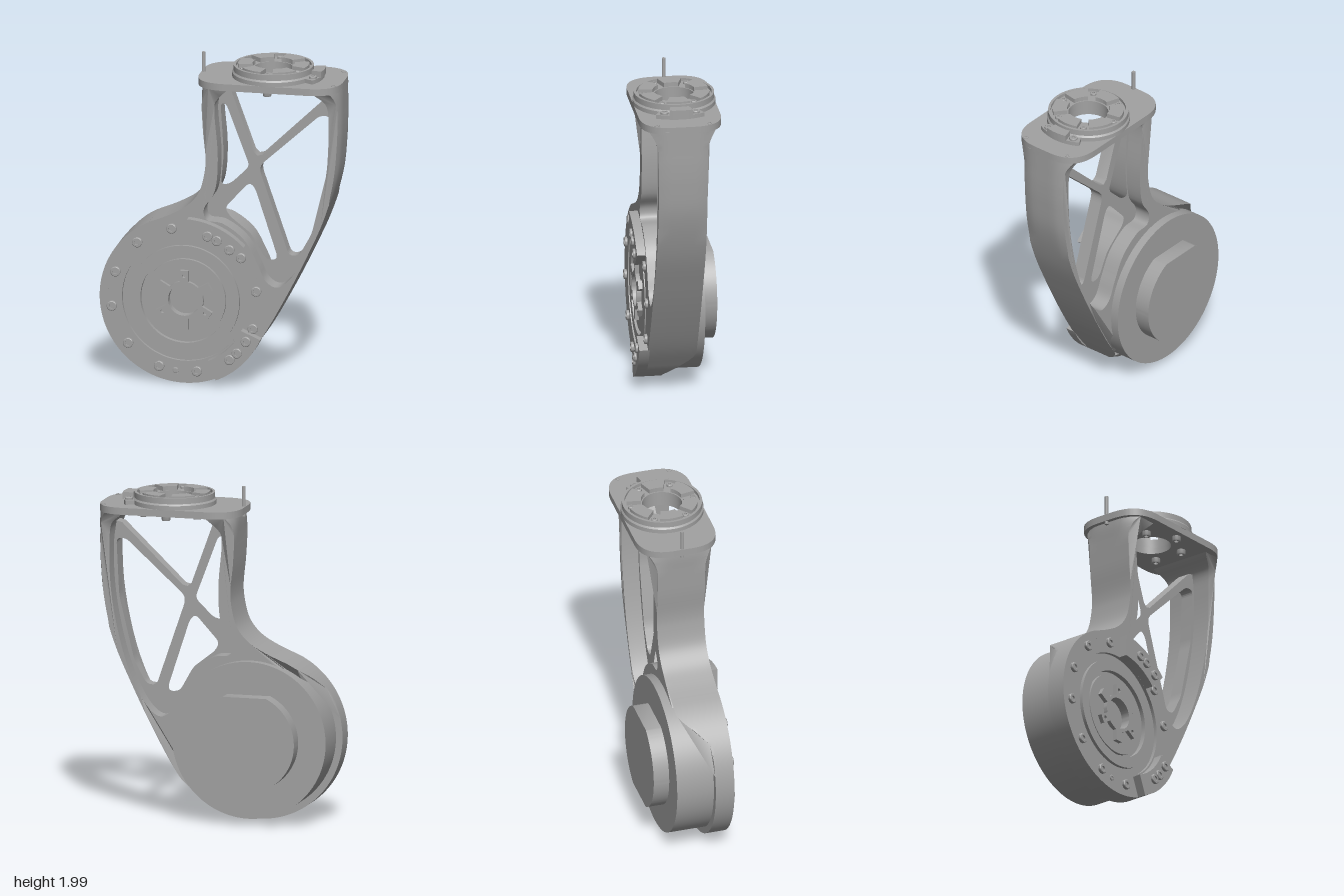
import * as THREE from 'three';
import { toCreasedNormals } from 'three/addons/utils/BufferGeometryUtils.js';

const V2 = (x, y) => new THREE.Vector2(x, y);
const DEG = Math.PI / 180;
const CX = -0.217, CY = 0.516; // drum axis
const ZC = 0.025; // middle of the arm depth

export function createModel() {
  const model = new THREE.Group();
  const metal = new THREE.MeshStandardMaterial({ color: 0xa2a2a2 });
  metal.name = 'grey metal';

  // ---- helpers ----
  const add = (parent, name, geo, x = 0, y = 0, z = 0) => {
    const mesh = new THREE.Mesh(toCreasedNormals(geo, 0.6), metal);
    mesh.name = name;
    mesh.position.set(x, y, z);
    parent.add(mesh);
    return mesh;
  };
  const extrude = (shape, z0, z1, steps = 1) =>
    new THREE.ExtrudeGeometry(shape, { depth: z1 - z0, bevelEnabled: false, curveSegments: 36, steps }).translate(0, 0, z0);
  // turned part along z, profile as [radius, z]
  const turned = (profile, segs = 72) =>
    new THREE.LatheGeometry(profile.map(([r, z]) => V2(r, z)), segs).rotateX(Math.PI / 2);
  const smooth = (pts, n = 5) =>
    new THREE.CatmullRomCurve3(pts.map(([x, y]) => new THREE.Vector3(x, y, 0)))
      .getPoints(pts.length * n).map(p => V2(p.x, p.y));
  const rounded = (pts, r, path) => {
    const n = pts.length, p = pts.map(q => V2(...q));
    for (let i = 0; i < n; i++) {
      const c = p[i], a = p[(i + n - 1) % n], b = p[(i + 1) % n];
      const toward = q => c.clone().lerp(q, Math.min(0.45, r / c.distanceTo(q)));
      const s = toward(a), e = toward(b);
      if (i) path.lineTo(s.x, s.y); else path.moveTo(s.x, s.y);
      path.quadraticCurveTo(c.x, c.y, e.x, e.y);
    }
    path.closePath();
    return path;
  };
  const sector = (r0, r1, a0, a1) => {
    const s = new THREE.Shape();
    s.absarc(0, 0, r1, a0 * DEG, a1 * DEG, false);
    s.absarc(0, 0, r0, a1 * DEG, a0 * DEG, true);
    s.closePath();
    return s;
  };
  const circleHole = (x, y, r) => new THREE.Path().absarc(x, y, r, 0, Math.PI * 2, true);
  const screw = (parent, name, x, y, z, r, h) =>
    add(parent, name, turned([[r, -0.02], [r, h * 0.8], [r * 0.88, h], [r * 0.5, h], [r * 0.5, h * 0.4], [0, h * 0.4]], 18), x, y, z);

  // ---- arm frame: outer skin, open at the top, around the drum ----
  const left = [[-0.12, 1.85], [-0.12, 1.8], [-0.115, 1.72], [-0.105, 1.55], [-0.09, 1.39], [-0.095, 1.31],
    [-0.13, 1.18], [-0.2, 1.095], [-0.3, 1.035], [-0.4325, 0.978]];
  const right = [[0.131, 0.143], [0.25, 0.31], [0.38, 0.54], [0.51, 0.8], [0.62, 1.05], [0.695, 1.31],
    [0.715, 1.5], [0.72, 1.63], [0.72, 1.72], [0.72, 1.8], [0.72, 1.85]];
  const opening = [[0.565, 1.83], [0.634, 1.765], [0.65, 1.63], [0.634, 1.315], [0.54, 0.918], [0.42, 0.68],
    [0.34, 0.622], [0.275, 0.653], [0.222, 0.76], [0.143, 0.902], [0.01, 0.997], [-0.085, 1.013],
    [-0.1, 1.077], [-0.037, 1.183], [-0.016, 1.394], [-0.037, 1.685], [-0.03, 1.738], [0.06, 1.84]];
  const frame = new THREE.Shape(smooth(left));
  frame.absarc(CX, CY, 0.51, 115 * DEG, 313 * DEG, false);
  smooth(right).slice(1).forEach(p => frame.lineTo(p.x, p.y));
  frame.lineTo(0.55, 1.85);
  smooth(opening).forEach(p => frame.lineTo(p.x, p.y));
  frame.lineTo(0.07, 1.85);
  frame.closePath();
  frame.holes.push(circleHole(CX, CY, 0.46));

  const frameGeo = extrude(frame, -0.12, 0.17, 8);
  const pos = frameGeo.attributes.position;
  for (let i = 0; i < pos.count; i++) {
    let x = pos.getX(i), y = pos.getY(i), z = pos.getZ(i);
    // back edge steps forward in an S curve at the lower left
    const d = -0.7071 * (x - CX + y - CY);
    const back = -0.12 + 0.175 * THREE.MathUtils.smoothstep(d, -0.14, 0.13);
    z = back + (z + 0.12) / 0.29 * (0.17 - back);
    // flare towards the top plate
    const f = THREE.MathUtils.clamp((y - 1.7) / 0.14, 0, 1);
    z = ZC + (z - ZC) * (1 + 0.38 * f * f);
    // round the outside of the walls like the plate corners
    const dz = Math.min(0.165, Math.max(0, Math.abs(z - ZC) - 0.073));
    const inset = 0.17 - Math.sqrt(0.17 * 0.17 - dz * dz);
    if (x > 0.66) x -= inset * THREE.MathUtils.smoothstep(y, 1.0, 1.4);
    if (x < -0.1 && y > 1.6) x += inset * f;
    pos.setXYZ(i, x, y, z);
  }
  add(model, 'armFrame', frameGeo);

  // ---- cross-braced web inside the frame ----
  const web = new THREE.Shape(smooth(opening.slice(1, -1)));
  [[0.03, 1.81], [0.048, 1.765], [0.175, 1.415], [0.2, 1.393], [0.23, 1.4], [0.6, 1.755]].forEach(p => web.lineTo(...p));
  web.closePath();
  [
    [[-0.022, 1.7], [0.012, 1.7], [0.153, 1.325], [0.037, 1.212], [-0.02, 1.204], [-0.003, 1.394]],
    [[0.635, 1.66], [0.575, 1.66], [0.222, 1.34], [0.215, 1.3], [0.39, 0.79], [0.45, 0.795], [0.525, 0.93], [0.618, 1.315]],
    [[0.15, 1.225], [0.185, 1.195], [0.32, 0.78], [0.3, 0.757], [0.245, 0.765], [0.165, 0.91], [0.03, 1.015], [0.005, 1.065]],
  ].forEach(pts => web.holes.push(rounded(pts, 0.035, new THREE.Path())));
  add(model, 'braceWeb', extrude(web, -0.02, 0.06));

  // ---- drum: actuator body with stepped front face ----
  const drum = new THREE.Group();
  drum.name = 'drum';
  drum.position.set(CX, CY, 0);
  model.add(drum);
  add(drum, 'drumBody', turned([[0, -0.17], [0.47, -0.17], [0.47, 0.1], [0.46, 0.1], [0.46, 0.17], [0.375, 0.17],
    [0.375, 0.15], [0.33, 0.15], [0.33, 0.17], [0.265, 0.17], [0.265, 0.14], [0.245, 0.14], [0.245, 0.16],
    [0.095, 0.16], [0.095, 0.13], [0, 0.13]], 96));
  const cap = new THREE.Shape();
  const flat = Math.asin(0.272 / 0.302);
  cap.absarc(0, 0, 0.302, -flat, flat, false);
  cap.absarc(0, 0, 0.302, Math.PI - flat, Math.PI + flat, false);
  cap.closePath();
  add(drum, 'rearCap', extrude(cap, -0.265, -0.165));

  // six-armed output hub
  add(drum, 'hubRing', turned([[0.095, 0.13], [0.115, 0.13], [0.115, 0.185], [0.095, 0.185], [0.095, 0.13]]));
  for (let i = 0; i < 6; i++) {
    const tab = new THREE.Shape([V2(0.105, -0.026), V2(0.18, -0.026), V2(0.18, 0.026), V2(0.105, 0.026)]);
    if (i % 2 === 0) tab.holes.push(circleHole(0.148, 0, 0.012));
    add(drum, 'hubTab', extrude(tab, 0.15, 0.185)).rotation.z = (90 + i * 60) * DEG;
  }

  // clamp pads and rim screws
  add(drum, 'upperClamp', extrude(sector(0.375, 0.51, 44, 87), 0.16, 0.222));
  add(drum, 'lowerClamp', extrude(sector(0.385, 0.51, -67, -24), 0.16, 0.222));
  for (const a of [100, 130, 160, 188, 220, 250, 280, 10, -20.5, 39])
    screw(drum, 'rimScrew', 0.44 * Math.cos(a * DEG), 0.44 * Math.sin(a * DEG), 0.17, 0.03, 0.017);
  for (const a of [70, 62, 50, -50, -42, -30])
    screw(drum, 'clampScrew', 0.44 * Math.cos(a * DEG), 0.44 * Math.sin(a * DEG), 0.222, 0.03, 0.015);
  screw(drum, 'rimPin', -0.053, -0.435, 0.17, 0.018, 0.006);

  // ---- top plate and mounting ring, built lying on the plate ----
  const top = new THREE.Group();
  top.name = 'topMount';
  top.position.set(0.29, 1.88, 0.023);
  top.rotation.x = -Math.PI / 2;
  model.add(top);
  const plate = rounded([[-0.435, -0.243], [0.43, -0.243], [0.43, 0.243], [-0.435, 0.243]], 0.19, new THREE.Shape());
  plate.holes.push(circleHole(0, 0, 0.118));
  add(top, 'topPlate', extrude(plate, -0.042, 0));
  add(top, 'mountRing', turned([[0.118, -0.005], [0.245, -0.005], [0.245, 0.025], [0.237, 0.035], [0.237, 0.07],
    [0.222, 0.07], [0.222, 0.05], [0.118, 0.05], [0.118, -0.005]]));
  for (let i = 0; i < 6; i++) {
    const a = (30 + i * 60) * DEG;
    const x = 0.19 * Math.cos(a), y = 0.19 * Math.sin(a);
    add(top, 'ringPad', extrude(sector(0.125, 0.21, -20, 20), 0.045, 0.077)).rotation.z = i * 60 * DEG;
    screw(top, 'ringScrew', x, y, 0.05, 0.018, 0.015);
    screw(top, 'undersideScrew', x, y, -0.04, 0.026, 0.032).rotation.x = Math.PI;
  }

  // connector block beside the ring
  add(top, 'connectorBase', extrude(sector(0.23, 0.3, -29, 29), -0.005, 0.025));
  add(top, 'connectorBlock', extrude(sector(0.245, 0.308, -13, 13), 0.02, 0.06));
  for (const s of [-1, 1]) {
    screw(top, 'connectorScrew', 0.255, s * 0.093, 0.025, 0.024, 0.014);
    screw(top, 'plateScrew', 0.39, s * 0.157, 0, 0.014, 0.005);
  }

  // locating pin
  add(top, 'locatingPin', new THREE.CylinderGeometry(0.011, 0.011, 0.18, 16).rotateX(Math.PI / 2), -0.422, 0, 0.03);
  return model;
}
